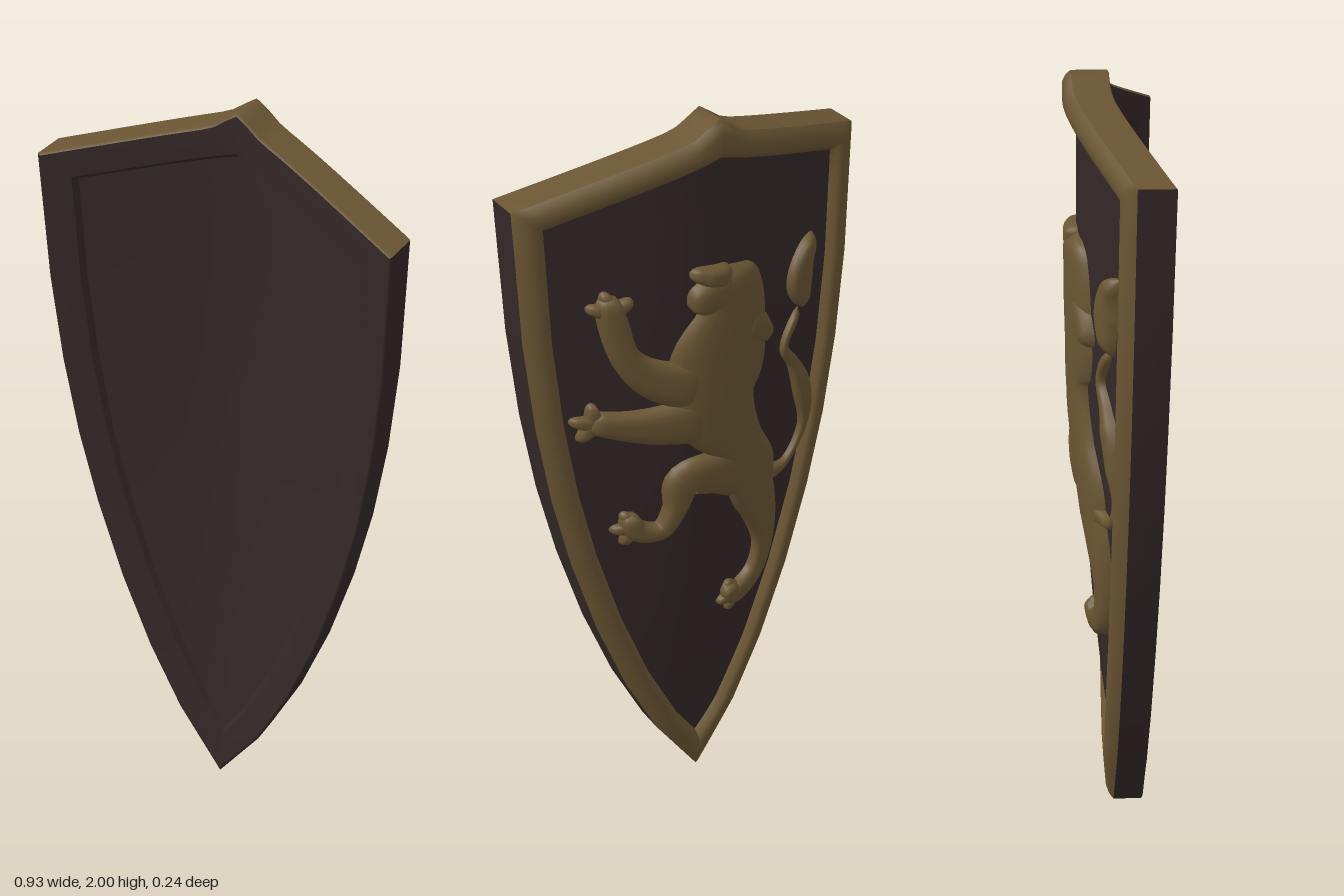
import * as THREE from 'three';

const dark = new THREE.MeshStandardMaterial({ color: 0x342828 });
dark.name = 'darkLeather';
const gold = new THREE.MeshStandardMaterial({ color: 0x6a5533 });
gold.name = 'agedGold';

// Right half of the outline, from the lower tip up to the top corner
const SIDE = [[0, 0], [0.125, 0.19], [0.215, 0.38], [0.295, 0.6], [0.36, 0.83],
  [0.405, 1.04], [0.437, 1.26], [0.457, 1.5], [0.465, 1.835]];
const OUTLINE = [...SIDE, [0, 1.975], ...SIDE.slice(1).reverse().map(([x, y]) => [-x, y])];
const SIDE_STEPS = 3, TOP_STEPS = 16;
const SIDE_COUNT = (SIDE.length - 1) * SIDE_STEPS;
const TOP_END = SIDE_COUNT + 2 * TOP_STEPS;

function halfWidth(y) {
  for (let i = 1; i < SIDE.length; i++) {
    const [x0, y0] = SIDE[i - 1], [x1, y1] = SIDE[i];
    if (y <= y1) return x0 + (x1 - x0) * Math.max(0, (y - y0) / (y1 - y0));
  }
  return 0.465;
}

// Curved surface shared by all the parts
const bend = x => 0.35 * (Math.hypot(x, 0.1) - 0.1);
const lift = y => Math.min(1, Math.max(0, y / 1.835));
const surface = (x, y) => 0.03 * lift(y) - bend(halfWidth(y)) + bend(x);
const thickness = y => 0.08 + 0.01 * lift(y);

// Outline moved inwards by d, then subdivided edge by edge
function insetOutline(d) {
  const n = OUTLINE.length;
  const normals = OUTLINE.map(([x, y], i) => {
    const [x1, y1] = OUTLINE[(i + 1) % n];
    const l = Math.hypot(x1 - x, y1 - y);
    return [-(y1 - y) / l, (x1 - x) / l];
  });
  const corners = OUTLINE.map(([x, y], i) => {
    const a = normals[(i + n - 1) % n], b = normals[i];
    const k = d / (1 + a[0] * b[0] + a[1] * b[1]);
    return [x + (a[0] + b[0]) * k, y + (a[1] + b[1]) * k];
  });
  const points = [];
  corners.forEach(([x, y], i) => {
    const [x1, y1] = corners[(i + 1) % n];
    const top = i === SIDE.length - 1 || i === SIDE.length;
    const steps = top ? TOP_STEPS : SIDE_STEPS;
    for (let s = 0; s < steps; s++) points.push([x + (x1 - x) * s / steps, y + (y1 - y) * s / steps]);
  });
  points.push(points[0].slice());
  return points;
}

// One ring: inset distance, depth from the surface, front or back, squeeze towards the middle
function ring(d, depth, front = false, squeeze = 1) {
  return insetOutline(d).map(([x, y]) => {
    const bump = d < 0.04 && y > 1.8 ? 0.025 * Math.exp(-((x / 0.04) ** 2)) : 0;
    const px = x * squeeze;
    return [px, y + bump, surface(px, y) + depth + (front ? thickness(y) : 0)];
  });
}

// Smooth sheet through rows of points
function sheet(name, rows, material) {
  const n = rows[0].length, index = [];
  for (let i = 0; i < rows.length - 1; i++) {
    for (let j = 0; j < n - 1; j++) {
      const a = i * n + j, b = a + 1, c = a + n, d = c + 1;
      index.push(a, b, c, b, d, c);
    }
  }
  const geometry = new THREE.BufferGeometry();
  geometry.setAttribute('position', new THREE.Float32BufferAttribute(rows.flat(2), 3));
  geometry.setIndex(index);
  geometry.computeVertexNormals();
  const mesh = new THREE.Mesh(geometry, material);
  mesh.name = name;
  return mesh;
}

const PANEL = 0.012;
// Domed strip laid on the back panel; each point is x, y, half width
function relief(name, points, height = 0.034) {
  const curve = new THREE.CatmullRomCurve3(points.map(p => new THREE.Vector3(...p)));
  const rows = [], N = points.length * 6, M = 10;
  for (let i = 0; i <= N; i++) {
    const s = i / N, p = curve.getPoint(s), t = curve.getTangent(s);
    const l = Math.hypot(t.x, t.y) || 1;
    const end = Math.min(1, Math.min(s, 1 - s) * (points.length - 1) * 2.2);
    const round = Math.sqrt(Math.max(0, 1 - (1 - end) ** 2));
    const w = Math.max(0.004, p.z) * round;
    const h = Math.min(height, p.z * 1.1 + 0.006) * round;
    const row = [];
    for (let j = 0; j <= M; j++) {
      const u = -Math.cos(Math.PI * j / M);
      const x = p.x - t.y / l * w * u, y = p.y + t.x / l * w * u;
      row.push([x, y, surface(x, y) + PANEL + 0.003 - h * Math.sqrt(Math.max(0, 1 - u ** 4))]);
    }
    rows.push(row);
  }
  return sheet(name, rows, gold);
}

export function createModel() {
  const model = new THREE.Group();
  model.name = 'shield';
  const squeezes = [0, 0.15, 0.3, 0.45, 0.6, 0.75, 0.88, 1];

  // Body
  model.add(sheet('backPanel', squeezes.map(s => ring(0.068, PANEL, false, s)), dark));
  const edge = [ring(0, 0), ring(0, -0.004, true), ring(0.006, 0, true)];
  const part = (from, to) => edge.map(r => r.slice(from, to + 1));
  model.add(sheet('leftEdge', part(0, SIDE_COUNT), dark));
  model.add(sheet('topEdge', part(SIDE_COUNT, TOP_END), gold));
  model.add(sheet('rightEdge', part(TOP_END, edge[0].length - 1), dark));
  model.add(sheet('frontRim', [ring(0.006, 0, true), ring(0.04, 0, true), ring(0.074, -0.002, true)], dark));
  model.add(sheet('frontStep', [ring(0.074, -0.002, true), ring(0.084, -0.014, true)], dark));
  model.add(sheet('frontPanel', squeezes.slice().reverse().map(s => ring(0.084, -0.014, true, s)), dark));

  // Raised border on the back
  model.add(sheet('backRim', [ring(0.068, PANEL), ring(0.06, -0.012), ring(0.045, -0.02),
    ring(0.025, -0.02), ring(0.01, -0.012), ring(0, 0)], gold));

  // Rearing lion in relief
  const lion = new THREE.Group();
  lion.name = 'lionRelief';
  const parts = {
    torso: [[-0.04, 1.62, 0.07], [-0.05, 1.5, 0.105], [-0.02, 1.36, 0.145], [-0.01, 1.24, 0.125],
      [-0.08, 1.1, 0.075], [-0.13, 0.98, 0.085], [-0.15, 0.86, 0.06]],
    muzzle: [[-0.05, 1.56, 0.065], [0.02, 1.555, 0.05], [0.075, 1.54, 0.03]],
    crest: [[-0.04, 1.59, 0.04], [0.03, 1.61, 0.025], [0.07, 1.625, 0.014]],
    maneLock: [[-0.08, 1.45, 0.06], [-0.13, 1.42, 0.04], [-0.175, 1.37, 0.02]],
    upperArm: [[0.02, 1.31, 0.08], [0.15, 1.35, 0.055], [0.22, 1.42, 0.035], [0.25, 1.52, 0.034], [0.265, 1.6, 0.028]],
    lowerArm: [[0, 1.22, 0.08], [0.15, 1.22, 0.055], [0.24, 1.235, 0.04], [0.32, 1.26, 0.03]],
    frontLeg: [[-0.13, 0.99, 0.08], [-0.01, 1.04, 0.065], [0.08, 1.04, 0.052], [0.105, 0.96, 0.03],
      [0.14, 0.9, 0.026], [0.2, 0.91, 0.032], [0.225, 0.97, 0.022]],
    backLeg: [[-0.12, 0.97, 0.08], [-0.17, 0.85, 0.06], [-0.19, 0.73, 0.038], [-0.16, 0.64, 0.036],
      [-0.09, 0.605, 0.036], [-0.055, 0.65, 0.02]],
    tail: [[-0.17, 0.95, 0.025], [-0.26, 0.945, 0.014], [-0.325, 1.03, 0.016], [-0.31, 1.16, 0.03],
      [-0.27, 1.25, 0.018], [-0.235, 1.31, 0.013], [-0.29, 1.4, 0.015]],
    tailTuft: [[-0.305, 1.39, 0.014], [-0.285, 1.48, 0.045], [-0.3, 1.54, 0.035], [-0.335, 1.59, 0.014]],
  };
  for (const [name, points] of Object.entries(parts)) lion.add(relief(name, points));

  // Claws: paw position and pointing directions
  const paws = [[0.255, 1.55, [20, 75, 150]], [0.3, 1.25, [-50, 15, 85]],
    [0.205, 0.92, [-60, 0, 60]], [-0.09, 0.605, [-70, -10, 60]]];
  for (const [x, y, angles] of paws) {
    for (const angle of angles) {
      const c = Math.cos(angle * Math.PI / 180), s = Math.sin(angle * Math.PI / 180);
      lion.add(relief('claw', [[x, y, 0.022], [x + c * 0.03, y + s * 0.03, 0.018], [x + c * 0.06, y + s * 0.06, 0.01]], 0.024));
    }
  }
  model.add(lion);
  return model;
}
